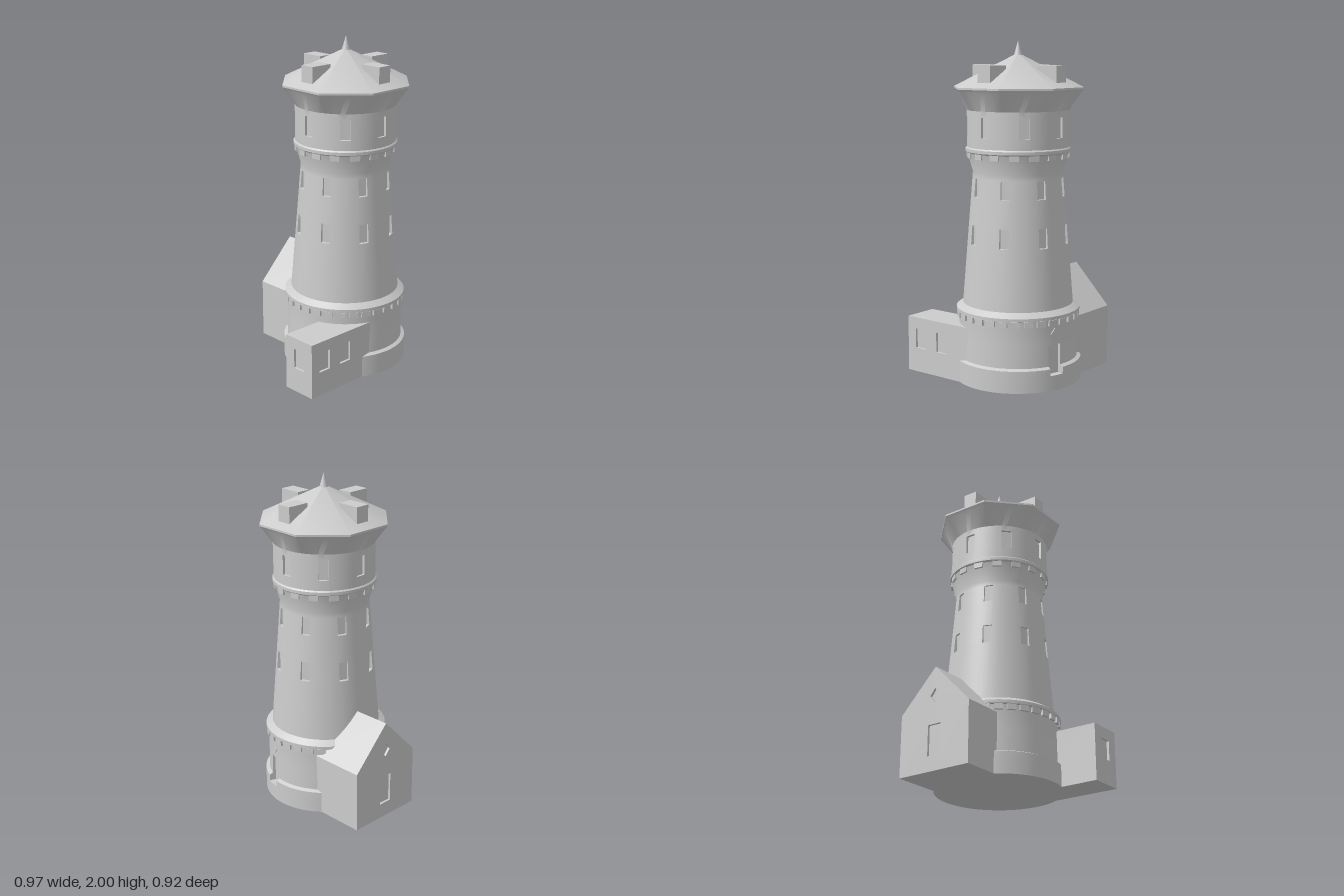
import * as THREE from 'three';
import { toCreasedNormals } from 'three/addons/utils/BufferGeometryUtils.js';

const CX = 0.105, CZ = 0.085;            // tower axis
const TAU = Math.PI * 2, SEGS = 64;

const stone = new THREE.MeshStandardMaterial({ color: 0xcccccc });
stone.name = 'stone grey';

function add(parent, name, geometry, x = 0, y = 0, z = 0) {
  const mesh = new THREE.Mesh(geometry, stone);
  mesh.name = name;
  mesh.position.set(x, y, z);
  parent.add(mesh);
  return mesh;
}

const uniqueSorted = (list) =>
  list.sort((a, b) => a - b).filter((v, i, all) => i === 0 || v - all[i - 1] > 1e-4);

// Round wall from a profile of [radius, height, octagon 0..1], with recessed openings.
// Each opening is { a, half, y0, y1, back }: angle from +z, half angle, heights, niche radius.
function wallGeometry(profile, openings = []) {
  const angles = openings.flatMap((o) => [o.a - o.half, o.a + o.half]);
  for (let i = 0; i <= SEGS; i++) angles.push(-0.35 + 0.35 % (TAU / SEGS) + (i / SEGS) * TAU);
  const cols = uniqueSorted(angles);
  const rows = uniqueSorted([...profile.map((p) => p[1]), ...openings.flatMap((o) => [o.y0, o.y1])]);
  const radius = (a, y) => {
    let i = 1;
    while (i < profile.length - 1 && y > profile[i][1]) i++;
    const [p, q] = [profile[i - 1], profile[i]];
    const t = (y - p[1]) / (q[1] - p[1]);
    const step = Math.PI / 4;
    const off = a - Math.round(a / step) * step;
    const at = (k) => k[0] * (k[2] ? 1 / Math.cos(off) : 1);
    return at(p) + (at(q) - at(p)) * t;
  };
  const out = [];
  const point = (a, y, r = radius(a, y)) => [r * Math.sin(a), y, r * Math.cos(a)];
  const quad = (a, b, c, d) => out.push(...a, ...b, ...c, ...a, ...c, ...d);

  for (let i = 0; i < cols.length - 1; i++) {
    for (let j = 0; j < rows.length - 1; j++) {
      const [a0, a1, y0, y1] = [cols[i], cols[i + 1], rows[j], rows[j + 1]];
      const a = (a0 + a1) / 2, y = (y0 + y1) / 2;
      const o = openings.find((w) => Math.abs(a - w.a) < w.half && y > w.y0 && y < w.y1);
      const p = [point(a0, y0), point(a1, y0), point(a1, y1), point(a0, y1)];
      if (!o) { quad(...p); continue; }
      // back of the niche, then its jambs, sill and head
      const flat = (ang) => o.back / Math.cos(ang - o.a);
      const b = [point(a0, y0, flat(a0)), point(a1, y0, flat(a1)),
        point(a1, y1, flat(a1)), point(a0, y1, flat(a0))];
      quad(...b);
      if (a0 - (o.a - o.half) < 2e-4) quad(p[0], b[0], b[3], p[3]);
      if (o.a + o.half - a1 < 2e-4) quad(b[1], p[1], p[2], b[2]);
      if (y0 - o.y0 < 2e-4) quad(p[0], p[1], b[1], b[0]);
      if (o.y1 - y1 < 2e-4) quad(b[3], b[2], p[2], p[3]);
    }
  }
  const geometry = new THREE.BufferGeometry();
  geometry.setAttribute('position', new THREE.Float32BufferAttribute(out, 3));
  return toCreasedNormals(geometry, 0.45);
}

// Eight equal windows around the tower
const windowRing = (start, y0, y1, r, width) => Array.from({ length: 8 }, (_, i) => ({
  a: start + (i * TAU) / 8, half: width / 2 / r, y0, y1, back: r - 0.016,
}));

// Small blocks in a ring under a belt
function blockRing(parent, name, count, start, width, height, r0, r1, y) {
  const geometry = new THREE.BoxGeometry(width, height, r1 - r0);
  const r = (r0 + r1) / 2;
  for (let i = 0; i < count; i++) {
    const a = start + (i * TAU) / count;
    add(parent, name, geometry, r * Math.sin(a), y, r * Math.cos(a)).rotation.y = a;
  }
}

// Flat panel from an outline with polygon holes, extruded towards +z
function panel(outline, holes, depth) {
  const toPoints = (list) => list.map(([x, y]) => new THREE.Vector2(x, y));
  const shape = new THREE.Shape(toPoints(outline));
  holes.forEach((h) => shape.holes.push(new THREE.Path(toPoints(h))));
  return new THREE.ExtrudeGeometry(shape, { depth, bevelEnabled: false });
}
const rect = (x0, y0, x1, y1) => [[x0, y0], [x1, y0], [x1, y1], [x0, y1]];
const diamond = (x, y, w, h) => [[x - w, y], [x, y - h], [x + w, y], [x, y + h]];

function buildTower() {
  const tower = new THREE.Group();
  tower.name = 'tower';
  tower.position.set(CX, 0, CZ);

  // Base with plinth, doorway and belt
  const doorAngle = THREE.MathUtils.degToRad(75);
  add(tower, 'base', wallGeometry(
    [[0.376, 0], [0.376, 0.13], [0.354, 0.14], [0.35, 0.38], [0.353, 0.412],
      [0.367, 0.416], [0.367, 0.435], [0.328, 0.462]],
    [{ a: doorAngle, half: 0.12, y0: 0.09, y1: 0.265, back: 0.334 }]));
  add(tower, 'underside', new THREE.CircleGeometry(0.376, SEGS)).rotation.x = Math.PI / 2;
  blockRing(tower, 'baseDentil', 30, 0, 0.052, 0.034, 0.34, 0.364, 0.397);
  const pane = add(tower, 'doorDiamond', panel(diamond(0, 0, 0.027, 0.033), [], 0.009),
    0.347 * Math.sin(doorAngle), 0.33, 0.347 * Math.cos(doorAngle));
  pane.rotation.y = doorAngle;

  // Tapering shaft with two window rows and a flared belt
  add(tower, 'shaft', wallGeometry(
    [[0.328, 0.462], [0.266, 1.24], [0.298, 1.352], [0.308, 1.36], [0.308, 1.378], [0.3, 1.386]],
    [...windowRing(Math.PI / 8, 0.82, 0.935, 0.295, 0.056),
      ...windowRing(Math.PI / 8, 1.1, 1.208, 0.274, 0.054)]));
  blockRing(tower, 'shaftBracket', 16, Math.PI / 16, 0.055, 0.034, 0.265, 0.301, 1.34);

  // Crown: round wall flaring out to an octagonal eave
  add(tower, 'crown', wallGeometry(
    [[0.3, 1.386], [0.3, 1.6], [0.35, 1.705, 1], [0.363, 1.722, 1], [0.363, 1.733, 1]],
    windowRing(0, 1.447, 1.565, 0.3, 0.062)));

  // Roof, finial and four dormers
  const roof = new THREE.ConeGeometry(0.363 / Math.cos(Math.PI / 8), 0.195, 8, 1, true);
  add(tower, 'roof', roof, 0, 1.8305, 0).rotation.y = Math.PI / 8;
  add(tower, 'finial', new THREE.ConeGeometry(0.026, 0.09, 24), 0, 1.955, 0);
  const dormer = new THREE.BoxGeometry(0.09, 0.11, 0.14);
  for (let i = 0; i < 4; i++) {
    const a = (i * TAU) / 4;
    add(tower, 'dormer', dormer, 0.24 * Math.sin(a), 1.803, 0.24 * Math.cos(a)).rotation.y = a;
  }
  return tower;
}

function buildGabledAnnex() {
  const annex = new THREE.Group();
  annex.name = 'gabledAnnex';
  const outline = [[-0.24, 0], [0.24, 0], [0.24, 0.365], [0, 0.613], [-0.24, 0.365]];
  const recess = 0.015;
  add(annex, 'gabledHall', panel(outline, [], 0.36 - recess), 0, 0, recess);
  add(annex, 'gableWall', panel(outline,
    [rect(-0.044, 0.09, 0.044, 0.27), diamond(0, 0.44, 0.034, 0.042)], recess));
  annex.position.set(0.145, 0, -0.462);
  return annex;
}

function buildFlatAnnex() {
  const annex = new THREE.Group();
  annex.name = 'flatAnnex';
  const x0 = -0.485, x1 = 0, z0 = 0.2, z1 = 0.417, h = 0.337, recess = 0.015;
  add(annex, 'flatHall', new THREE.BoxGeometry(x1 - x0 - recess, h, z1 - z0 - recess),
    (x0 + x1 + recess) / 2, h / 2, (z0 + z1 - recess) / 2);
  // front wall with two windows
  add(annex, 'frontWall', panel(rect(x0 + recess, 0, x1, h),
    [-0.383, -0.216].map((x) => rect(x - 0.041, 0.148, x + 0.041, 0.268)), recess), 0, 0, z1 - recess);
  // end wall with one window
  const end = add(annex, 'endWall', panel(rect(z0, 0, z1, h),
    [rect(0.268, 0.148, 0.35, 0.268)], recess), x0 + recess, 0, 0);
  end.rotation.y = -Math.PI / 2;
  return annex;
}

export function createModel() {
  const model = new THREE.Group();
  model.name = 'waterTower';
  model.add(buildTower(), buildGabledAnnex(), buildFlatAnnex());
  return model;
}
